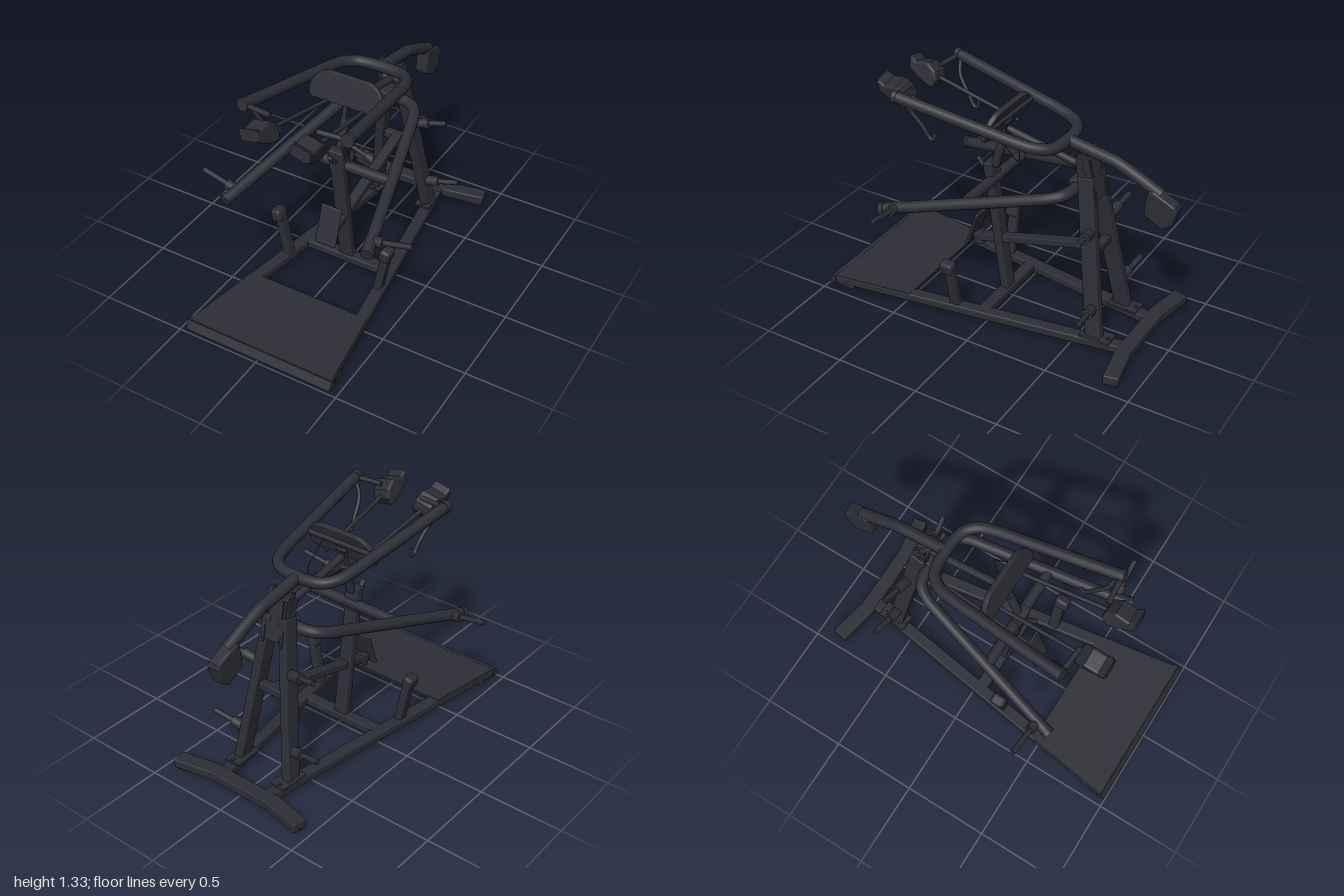
import * as THREE from 'three';
import { RoundedBoxGeometry } from 'three/addons/geometries/RoundedBoxGeometry.js';

export function createModel() {
  const group = new THREE.Group();
  const charcoal = new THREE.MeshStandardMaterial({ color: 0x2d2d36 });
  const V = (p) => new THREE.Vector3(...p);

  const add = (name, geometry) => {
    const mesh = new THREE.Mesh(geometry, charcoal);
    mesh.name = name;
    group.add(mesh);
    return mesh;
  };
  // Box beam from a to b: w across, h in the other direction
  const beam = (name, a, b, w, h, r = 0.008) => {
    const A = V(a), B = V(b), len = A.distanceTo(B);
    const mesh = add(name, new RoundedBoxGeometry(w, h, len, 2, r));
    const dir = B.clone().sub(A).normalize();
    if (Math.abs(dir.y) > 0.7) mesh.up.set(0, 0, 1);
    mesh.position.copy(A).add(B).multiplyScalar(0.5);
    mesh.lookAt(B);
    return mesh;
  };
  // Round bar from a to b
  const rod = (name, a, b, r) => {
    const A = V(a), B = V(b);
    const mesh = add(name, new THREE.CylinderGeometry(r, r, A.distanceTo(B), 20));
    mesh.position.copy(A).add(B).multiplyScalar(0.5);
    mesh.quaternion.setFromUnitVectors(new THREE.Vector3(0, 1, 0), B.sub(A).normalize());
    return mesh;
  };
  // Bent round tube
  const tube = (name, pts, r, seg = 64) =>
    add(name, new THREE.TubeGeometry(new THREE.CatmullRomCurve3(pts.map(V), false, 'centripetal'), seg, r, 16));
  // Side profile of [z, y] points, extruded across x
  const side = (name, pts, width, x = 0, bevel = 0) => {
    const shape = new THREE.Shape(pts.map(([z, y]) => new THREE.Vector2(z, y)));
    const geo = new THREE.ExtrudeGeometry(shape, {
      depth: width - 2 * bevel, bevelEnabled: bevel > 0, bevelSize: bevel,
      bevelThickness: bevel, bevelOffset: -bevel, bevelSegments: 3,
    });
    geo.translate(0, 0, bevel - width / 2).rotateY(-Math.PI / 2);
    const mesh = add(name, geo);
    mesh.position.x = x;
    return mesh;
  };

  // Foot platform with sloping front lip
  const plate = new THREE.Shape([[-0.455, -0.97], [0.455, -0.97], [0.38, -0.47], [-0.38, -0.47]]
    .map(([x, y]) => new THREE.Vector2(x, y)));
  const plateGeo = new THREE.ExtrudeGeometry(plate, { depth: 0.015, bevelEnabled: false });
  plateGeo.rotateX(-Math.PI / 2);
  add('footPlatform', plateGeo).position.y = 0.054;
  side('platformLip', [[0.995, 0.018], [0.965, 0.07], [0.945, 0.07], [0.945, 0.018]], 0.92);

  // Floor crossbeam and rear foot
  beam('floorCrossbeam', [-0.27, 0.042, 0.035], [0.27, 0.042, 0.035], 0.07, 0.05);
  beam('rearFoot', [-0.23, 0.042, -0.82], [0.23, 0.042, -0.82], 0.085, 0.056);

  // Rear frame bracket
  side('bracketCore', [[-0.44, 1.08], [-0.5, 1.08], [-0.55, 0.85], [-0.47, 0.85]], 0.09);
  for (const y of [0.86, 0.93, 1.0, 1.06])
    rod('bracketRoller', [-0.072, y, -0.34 - (1.1 - y) * 0.17 - 0.1], [0.072, y, -0.44 - (1.1 - y) * 0.17], 0.026);
  beam('armPivotBlock', [0, 0.905, -0.38], [0, 0.915, -0.5], 0.12, 0.07);
  beam('uprightCrossbar', [-0.11, 0.54, -0.55], [0.11, 0.54, -0.55], 0.05, 0.05);

  // Centre post, lower link and stop pad
  beam('centrePost', [0, 0.06, 0.035], [0, 0.83, 0.143], 0.084, 0.05);
  beam('postBracket', [0, 0.72, 0.125], [0, 0.87, 0.145], 0.094, 0.055);
  beam('lowerLink', [0, 0.345, 0.22], [0, 0.545, -0.54], 0.06, 0.045);
  beam('padMount', [0, 0.3, 0.21], [0, 0.37, 0.23], 0.06, 0.06);
  beam('stopPad', [0, 0.3, 0.28], [0, 0.52, 0.205], 0.13, 0.016, 0.007);
  beam('postPin', [0, 0.87, 0.23], [0, 0.8, 0.17], 0.03, 0.02);

  // Damper between centre post and upper frame
  rod('damperRod', [0, 0.78, 0.14], [0, 1.24, 0.02], 0.013);
  rod('damperBody', [0, 0.85, 0.115], [0, 1.03, 0.06], 0.026);
  rod('damperPin', [-0.035, 1.14, 0.04], [0.035, 1.14, 0.04], 0.016);
  tube('cable', [[0.02, 1.0, 0.04], [0.06, 0.98, -0.03], [0.11, 0.99, -0.1], [0.12, 1.05, -0.11],
    [0.105, 1.13, -0.06], [0.11, 1.2, 0.02]], 0.003, 40);

  // Lower press arm: a bent tube lying in one sloping plane
  const low = (x, z) => [x, 0.9 - 0.252 * (z + 0.42), z];
  const lowHalf = [[0.44, 0.58], [0.36, 0.26], [0.28, -0.06], [0.235, -0.24], [0.21, -0.33], [0.17, -0.395], [0.11, -0.42]];
  tube('pressArm', [...lowHalf.map(([x, z]) => low(-x, z)), ...lowHalf.reverse().map(([x, z]) => low(x, z))], 0.033, 120);
  rod('pressArmCrossbar', low(-0.31, 0.12), low(0.31, 0.12), 0.031);

  // Upper shoulder frame: U tube, spine and counterweight
  const up = (x, z) => [x, 1.29 - 0.175 * (0.53 - z), z];
  const upHalf = [[0.31, 0.55], [0.275, 0.26], [0.24, -0.03], [0.225, -0.15], [0.2, -0.25], [0.15, -0.31], [0.08, -0.332]];
  tube('shoulderFrame', [...upHalf.map(([x, z]) => up(-x, z)), ...upHalf.reverse().map(([x, z]) => up(x, z))], 0.033, 120);
  tube('spine', [up(0, -0.33), up(0, -0.45), up(0, -0.56), [0, 1.085, -0.63], [0, 1.045, -0.73], [0, 0.97, -0.89]], 0.034);
  side('counterweight', [[-0.825, 0.99], [-0.855, 0.995], [-0.985, 0.935], [-0.995, 0.91], [-0.97, 0.82],
    [-0.92, 0.785], [-0.9, 0.79], [-0.815, 0.84], [-0.81, 0.86]], 0.078, 0, 0.012);
  rod('lowerSpineBar', [0, 1.1, 0.03], [0, 1.0, -0.45], 0.022);

  // Back pad, rounded along the top
  const pad = new THREE.Shape();
  pad.moveTo(-0.2, -0.07).lineTo(0.2, -0.07).quadraticCurveTo(0.23, -0.06, 0.22, -0.01)
    .quadraticCurveTo(0.19, 0.09, 0.1, 0.09).lineTo(-0.1, 0.09)
    .quadraticCurveTo(-0.19, 0.09, -0.22, -0.01).quadraticCurveTo(-0.23, -0.06, -0.2, -0.07);
  const padGeo = new THREE.ExtrudeGeometry(pad, { depth: 0.018, bevelSize: 0.006, bevelThickness: 0.006, bevelSegments: 3 });
  const backPad = add('backPad', padGeo);
  backPad.position.set(0, 1.175, 0.03);
  backPad.rotation.x = -0.3;
  rod('padCrossbar', [-0.25, 1.19, 0.02], [0.25, 1.19, 0.02], 0.018);

  for (const s of [-1, 1]) {
    // Base rail, feet and splayed rear foot tip
    beam('baseRail', [s * 0.42, 0.042, 0.96], [s * 0.155, 0.042, -0.8], 0.072, 0.05);
    beam('rearFootTip', [s * 0.21, 0.042, -0.82], [s * 0.445, 0.04, -0.865], 0.088, 0.056);
    beam('frontFootPad', [s * 0.3, 0.011, 0.9], [s * 0.445, 0.011, 0.9], 0.13, 0.022);
    beam('rearFootPad', [s * 0.33, 0.009, -0.84], [s * 0.44, 0.009, -0.86], 0.075, 0.018);

    // Rear upright, base plate and bracket cheek
    beam('rearUpright', [s * 0.178, 0.05, -0.63], [s * 0.05, 0.98, -0.48], 0.056, 0.092);
    beam('uprightBasePlate', [s * 0.172, 0.072, -0.55], [s * 0.165, 0.072, -0.73], 0.1, 0.014, 0.004);
    for (const z of [-0.565, -0.71])
      rod('plateBolt', [s * 0.17, 0.07, z], [s * 0.17, 0.085, z], 0.012);
    side('bracketCheek', [[-0.43, 1.11], [-0.46, 1.12], [-0.5, 1.09], [-0.56, 0.83], [-0.46, 0.83], [-0.43, 1.0]], 0.016, s * 0.062);

    // Plate storage pegs on the upright
    for (const [x, y, z, tip] of [[0.1, 0.675, -0.54, 0.3], [0.15, 0.235, -0.6, 0.37]]) {
      rod('storagePeg', [s * x, y, z], [s * tip, y + 0.045, z - 0.03], 0.016);
      rod('storagePegSleeve', [s * x, y, z], [s * (x + 0.1), y + 0.022, z - 0.015], 0.03);
    }

    // Loading peg and end cap on the press arm
    rod('loadingPeg', [s * 0.4, 0.66, 0.5], [s * 0.65, 0.71, 0.485], 0.016);
    rod('loadingPegSleeve', [s * 0.41, 0.662, 0.5], [s * 0.49, 0.678, 0.495], 0.03);
    rod('pressArmCap', low(s * 0.438, 0.565), low(s * 0.444, 0.59), 0.037);

    // Short stop post on the rail
    beam('stopPost', [s * 0.293, 0.03, 0.2], [s * 0.35, 0.32, 0.2], 0.048, 0.06);
    beam('stopPostHead', [s * 0.345, 0.295, 0.212], [s * 0.362, 0.372, 0.212], 0.066, 0.085, 0.02);

    // Shoulder pad with its mounting bar
    const saddle = side('shoulderPad', [[0.74, 1.31], [0.7, 1.285], [0.62, 1.295], [0.565, 1.25],
      [0.555, 1.2], [0.585, 1.155], [0.63, 1.17], [0.68, 1.195], [0.745, 1.24]], 0.115, 0, 0.015);
    saddle.geometry.translate(0, -1.235, 0);
    saddle.position.set(s * 0.143, 1.235, 0);
    saddle.rotation.z = -s * 0.22;
    rod('shoulderPadBar', [s * 0.34, 1.29, 0.54], [s * 0.14, 1.29, 0.56], 0.015);
    rod('shoulderFrameCap', up(s * 0.308, 0.535), up(s * 0.311, 0.56), 0.037);
    rod('shoulderLinkBar', [s * 0.14, 1.21, 0.56], [s * 0.11, 1.1, 0.03], 0.012);

    // Hooked hand grip
    tube('handGrip', [[s * 0.285, 1.27, 0.52], [s * 0.25, 1.2, 0.5], [s * 0.228, 1.1, 0.43],
      [s * 0.222, 1.04, 0.39], [s * 0.222, 1.04, 0.37], [s * 0.222, 1.09, 0.36]], 0.012, 40);
  }

  return group;
}
